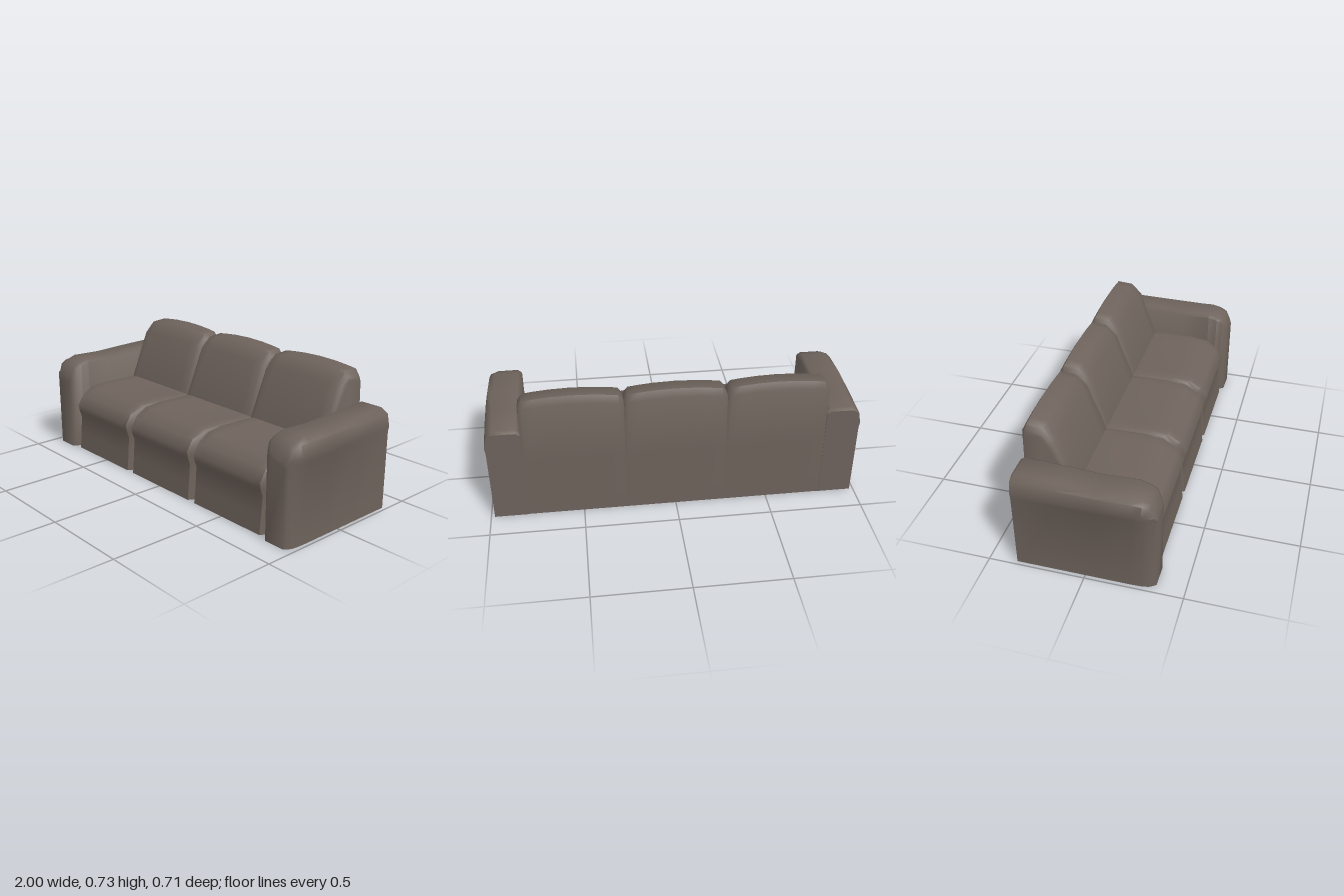
import * as THREE from 'three';
import { toCreasedNormals } from 'three/addons/utils/BufferGeometryUtils.js';

// Skins counter-clockwise [u, v] rings placed at rising depths w, with both ends capped.
function loft(rings, depths) {
  const n = rings[0].length, last = (rings.length - 1) * n;
  const pos = [], index = [];
  rings.forEach((ring, i) => ring.forEach(([u, v]) => pos.push(u, v, depths[i])));
  for (let i = 0; i < rings.length - 1; i++) {
    for (let j = 0; j < n; j++) {
      const a = i * n + j, b = i * n + (j + 1) % n;
      index.push(a, b, a + n, b, b + n, a + n);
    }
  }
  const cap = (ring) => THREE.ShapeUtils.triangulateShape(ring.map(([u, v]) => new THREE.Vector2(u, v)), []);
  for (const [a, b, c] of cap(rings[0])) index.push(a, c, b);
  for (const [a, b, c] of cap(rings[rings.length - 1])) index.push(last + a, last + b, last + c);
  const geo = new THREE.BufferGeometry();
  geo.setAttribute('position', new THREE.Float32BufferAttribute(pos, 3));
  geo.setIndex(index);
  return geo;
}

// Side profile of one seat: z, y, then the shift in z and y at its ends, then the arch of the top.
const seatProfile = [
  [0.335, 0, -0.055, 0, 0],
  [-0.355, 0, 0, 0, 0],
  [-0.355, 0.36, 0, 0, 0],
  [-0.357, 0.69, 0.012, -0.025, 0.02],
  [-0.335, 0.727, 0, -0.035, 0.022],
  [-0.25, 0.72, 0, -0.035, 0.022],
  [-0.19, 0.655, -0.015, -0.025, 0.015],
  [-0.10, 0.372, 0, -0.004, 0],
  [0.13, 0.376, -0.01, -0.014, -0.009],
  [0.23, 0.368, -0.02, -0.018, -0.007],
  [0.30, 0.33, -0.04, -0.02, -0.004],
  [0.337, 0.275, -0.055, -0.01, 0],
  [0.332, 0.24, -0.055, 0, 0],
  [0.318, 0.2, -0.045, 0, 0],
  [0.325, 0.1, -0.05, 0, 0],
];

// Base, cushion and backrest of one place, swept across its width.
function seatGeometry() {
  const half = 0.267;
  const depths = [-1, -0.965, -0.9, -0.7, -0.4, 0, 0.4, 0.7, 0.9, 0.965, 1].map((t) => t * half);
  const rings = depths.map((x) => {
    const t = Math.abs(x / half);
    const end = Math.pow(Math.max(0, (t - 0.9) / 0.1), 1.3);
    return seatProfile.map(([z, y, dz, dy, arch]) => [-(z + dz * end), y + dy * end - arch * t * t]);
  });
  return loft(rings, depths).rotateY(Math.PI / 2);
}

// Armrest stations: z, top height, outer x of the roll, narrowing of the sides.
const armStations = [
  [-0.357, 0.532, 0.985, 0],
  [-0.338, 0.545, 0.986, 0],
  [-0.13, 0.537, 0.995, 0],
  [0.07, 0.528, 1.0, 0],
  [0.235, 0.535, 0.996, 0],
  [0.285, 0.52, 0.99, 0.002],
  [0.32, 0.505, 0.98, 0.008],
  [0.342, 0.465, 0.966, 0.02],
  [0.355, 0.435, 0.952, 0.032],
];

function armGeometry(side) {
  const rings = armStations.map(([, top, outer, inset]) => {
    const ring = [
      [0.80 + inset, 0],
      [0.98 - inset, 0],
      [0.98 - inset, Math.min(0.42, top - 0.03)],
      [outer, Math.min(0.45, top - 0.02)],
      [outer - 0.014, Math.min(0.515, top - 0.012)],
      [outer - 0.045, top],
      [0.82 + inset, top],
      [0.80 + inset, top - 0.015],
    ];
    return side > 0 ? ring : ring.map(([x, y]) => [-x, y]).reverse();
  });
  return loft(rings, armStations.map((s) => s[0]));
}

export function createModel() {
  const upholstery = new THREE.MeshStandardMaterial({ color: 0x6e635c });
  upholstery.name = 'taupe upholstery';
  const sofa = new THREE.Group();
  sofa.name = 'sofa';

  const add = (name, geo, crease) => {
    const mesh = new THREE.Mesh(toCreasedNormals(geo, crease), upholstery);
    mesh.name = name;
    sofa.add(mesh);
    return mesh;
  };

  // Three identical places side by side
  ['rightSeat', 'middleSeat', 'leftSeat'].forEach((name, i) => {
    add(name, seatGeometry(), 0.95).position.x = (i - 1) * 0.533;
  });

  // Mirrored armrests
  add('leftArm', armGeometry(1), 0.95);
  add('rightArm', armGeometry(-1), 0.95);
  return sofa;
}
